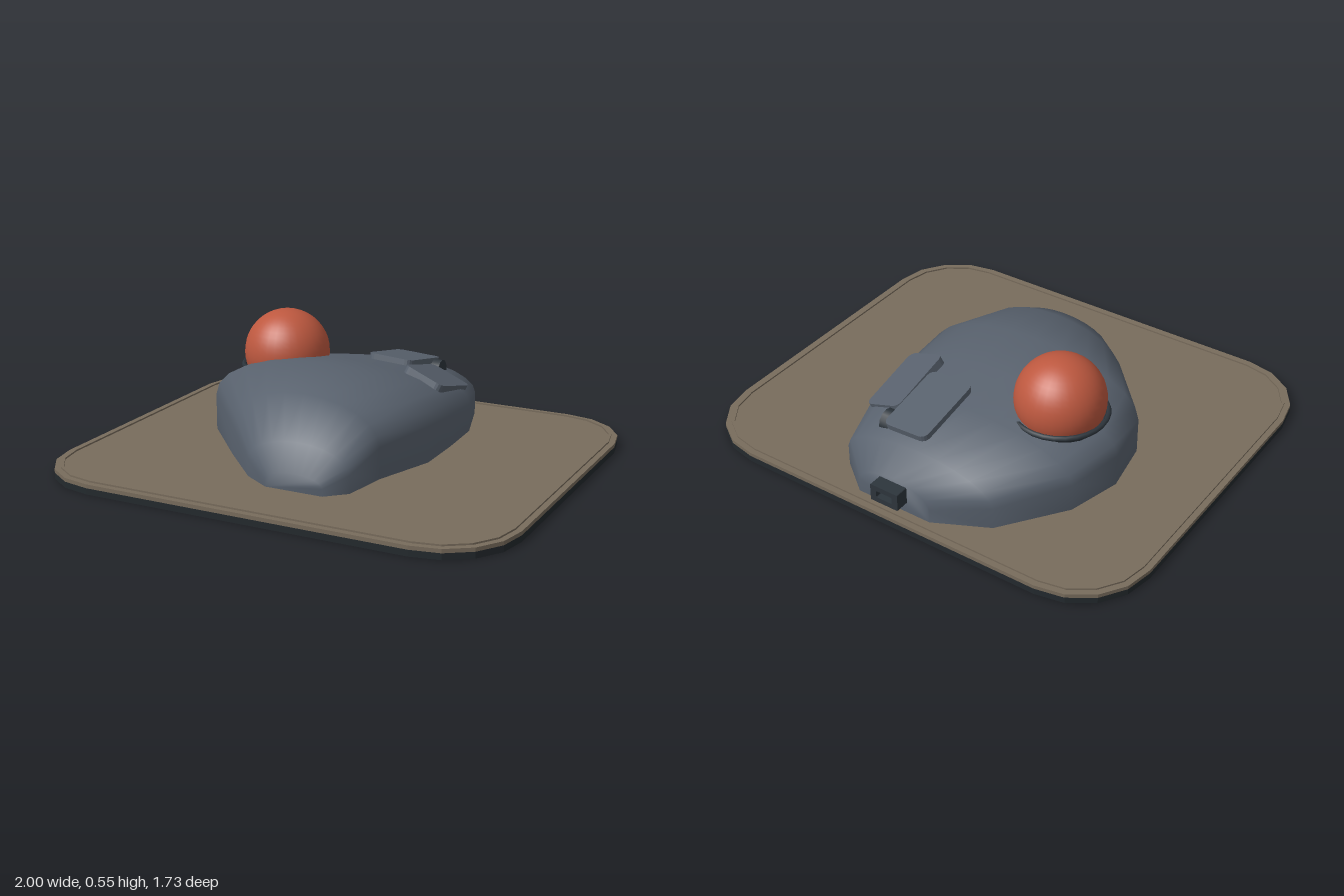
import * as THREE from 'three';
import { toCreasedNormals } from 'three/addons/utils/BufferGeometryUtils.js';

const paint = (name, color) => {
  const m = new THREE.MeshStandardMaterial({ color });
  m.name = name;
  return m;
};

// Rounded rectangle outline with coarse corners
function roundedRect(w, d, r, Type = THREE.Shape, steps = 4) {
  const pts = [];
  [[1, 1], [-1, 1], [-1, -1], [1, -1]].forEach(([sx, sy], q) => {
    for (let i = 0; i <= steps; i++) {
      const a = (q + i / steps) * Math.PI / 2;
      pts.push(new THREE.Vector2(sx * (w / 2 - r) + r * Math.cos(a), sy * (d / 2 - r) + r * Math.sin(a)));
    }
  });
  return new Type(pts);
}

// Lay an outline flat and give it height from y0 to y1
function slab(shape, y0, y1) {
  const g = new THREE.ExtrudeGeometry(shape, { depth: y1 - y0, bevelEnabled: false });
  return g.rotateX(-Math.PI / 2).translate(0, y0, 0);
}

// Domed shell lofted along z; each section is [z, xMin, xMax, top]
function shellGeometry() {
  const sections = [
    [-0.8, -0.17, 0.17, 0.18], [-0.69, -0.39, 0.31, 0.262], [-0.43, -0.58, 0.39, 0.322],
    [-0.2, -0.64, 0.4, 0.368], [0.03, -0.6, 0.4, 0.405], [0.3, -0.36, 0.31, 0.35],
    [0.5, -0.17, 0.28, 0.22], [0.575, -0.05, 0.2, 0.115],
  ];
  const base = 0.045, arc = 12, n = arc + 3;
  const pos = [], idx = [];
  for (const [z, x0, x1, top] of sections) {
    const c = (x0 + x1) / 2, h = (x1 - x0) / 2, wall = base + 0.43 * (top - base);
    pos.push(x0, base, z);
    for (let i = 0; i <= arc; i++) {
      const a = Math.PI * (1 - i / arc);
      pos.push(c + h * Math.cos(a), wall + (top - wall) * Math.sin(a), z);
    }
    pos.push(x1, base, z);
  }
  const last = (sections.length - 1) * n;
  for (let s = 0; s < last; s += n) {
    for (let j = 0; j < n; j++) {
      const k = (j + 1) % n;
      idx.push(s + j, s + n + j, s + k, s + k, s + n + j, s + n + k);
    }
  }
  for (let j = 1; j < n - 1; j++) {
    idx.push(0, j, j + 1, last, last + j + 1, last + j);
  }
  const g = new THREE.BufferGeometry();
  g.setAttribute('position', new THREE.Float32BufferAttribute(pos, 3));
  g.setIndex(idx);
  return toCreasedNormals(g, 1.0);
}

export function createModel() {
  const group = new THREE.Group();
  const tan = paint('tan cloth', 0x786c5c);
  const rubber = paint('black rubber', 0x23292d);
  const grey = paint('slate grey plastic', 0x58616d);
  const dark = paint('dark plastic', 0x2d353c);
  const red = paint('red ball', 0xbd583f);
  const add = (name, geo, mat, x = 0, y = 0, z = 0) => {
    const m = new THREE.Mesh(geo, mat);
    m.name = name;
    m.position.set(x, y, z);
    group.add(m);
    return m;
  };

  // Desk mat: rubber base, cloth top and raised hem
  add('matBase', slab(roundedRect(2, 1.726, 0.31), 0, 0.026), rubber);
  add('matTop', slab(roundedRect(2, 1.726, 0.31), 0.026, 0.042), tan);
  const hem = roundedRect(1.95, 1.676, 0.285);
  hem.holes.push(roundedRect(1.925, 1.651, 0.272, THREE.Path));
  add('matHem', slab(hem, 0.042, 0.049), tan);

  // Mouse shell
  add('shell', shellGeometry(), grey);

  // Trackball in its socket
  add('socket', new THREE.CylinderGeometry(0.19, 0.14, 0.08, 24), dark, -0.38, 0.265, -0.21);
  add('socketRing', new THREE.TorusGeometry(0.19, 0.011, 6, 28).rotateX(Math.PI / 2), dark, -0.38, 0.308, -0.21);
  add('ball', new THREE.SphereGeometry(0.185, 32, 24), red, -0.38, 0.365, -0.21);

  // Two click buttons following the slope of the shell
  const left = add('innerButton', slab(roundedRect(0.205, 0.33, 0.03), -0.015, 0.01), grey, 0.053, 0.32, -0.492);
  left.rotation.set(-0.19, 0, -0.06);
  const right = add('outerButton', slab(roundedRect(0.19, 0.315, 0.03), -0.025, 0.01), grey, 0.26, 0.285, -0.373);
  right.rotation.set(-0.24, 0, -0.38);

  // Scroll wheel between the buttons
  add('scrollWheel', new THREE.CylinderGeometry(0.05, 0.05, 0.045, 12).rotateZ(Math.PI / 2), dark, 0.17, 0.25, -0.585);

  // Cable port at the back
  const frame = roundedRect(0.13, 0.075, 0.004);
  frame.holes.push(roundedRect(0.075, 0.03, 0.004, THREE.Path));
  add('port', new THREE.ExtrudeGeometry(frame, { depth: 0.08, bevelEnabled: false }), dark, 0, 0.128, -0.858);
  add('portInside', new THREE.BoxGeometry(0.08, 0.035, 0.01), rubber, 0, 0.128, -0.825);

  return group;
}
